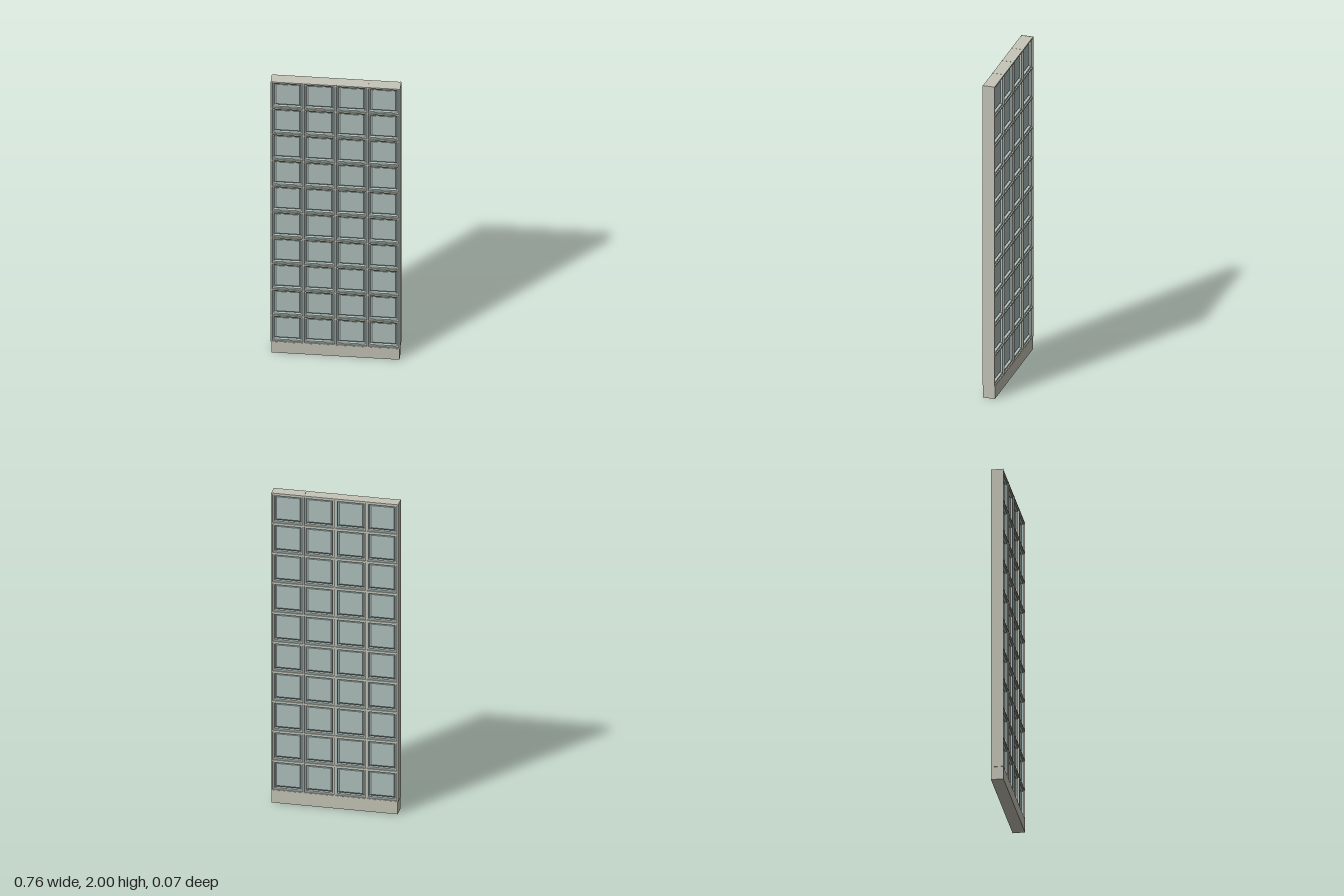
import * as THREE from 'three';

const COLS = 4, ROWS = 10;
const PITCH_X = 0.1880, PITCH_Y = 0.1915;
const BASE_H = 0.08, DEPTH = 0.074, JOINT = 0.009;
const HALF_W = 0.38;

const rect = (C, w, h) => {
  const s = new C();
  s.moveTo(-w / 2, -h / 2);
  s.lineTo(w / 2, -h / 2);
  s.lineTo(w / 2, h / 2);
  s.lineTo(-w / 2, h / 2);
  s.closePath();
  return s;
};

export function createModel() {
  const model = new THREE.Group();
  const frameMat = new THREE.MeshStandardMaterial({ color: 0xc6c5b8 });
  const glassMat = new THREE.MeshStandardMaterial({ color: 0xb0c1be });

  const add = (name, geometry, material, x, y, z = 0) => {
    const mesh = new THREE.Mesh(geometry, material);
    mesh.name = name;
    mesh.position.set(x, y, z);
    model.add(mesh);
  };

  // Solid plinth
  add('base', new THREE.BoxGeometry(HALF_W * 2 - 0.006, BASE_H, DEPTH), frameMat, 0, BASE_H / 2);

  // Upright joints, standing slightly proud of the top rail
  const upright = new THREE.BoxGeometry(JOINT, 2 - BASE_H, DEPTH);
  for (let c = 0; c <= COLS; c++) {
    add('upright', upright, frameMat, (c - COLS / 2) * PITCH_X, BASE_H + (2 - BASE_H) / 2);
  }

  // Horizontal joints
  const rail = new THREE.BoxGeometry(COLS * PITCH_X, JOINT, DEPTH - 0.002);
  for (let r = 0; r <= ROWS; r++) {
    add('rail', rail, frameMat, 0, BASE_H + r * PITCH_Y);
  }

  // Rim ring shared by all blocks
  const w = PITCH_X - JOINT, h = PITCH_Y - JOINT, rim = 0.01, rimDepth = 0.058;
  const ring = rect(THREE.Shape, w, h);
  ring.holes.push(rect(THREE.Path, w - rim * 2, h - rim * 2));
  const rimGeo = new THREE.ExtrudeGeometry(ring, { depth: rimDepth, bevelEnabled: false });
  rimGeo.translate(0, 0, -rimDepth / 2);

  // Glass pane with a chamfered face on both sides
  const chamfer = 0.01, core = 0.022;
  const paneGeo = new THREE.ExtrudeGeometry(
    rect(THREE.Shape, w - rim * 2 - chamfer * 2, h - rim * 2 - chamfer * 2),
    { depth: core, bevelEnabled: true, bevelSize: chamfer, bevelThickness: 0.008, bevelSegments: 1 }
  );
  paneGeo.translate(0, 0, -core / 2);

  for (let r = 0; r < ROWS; r++) {
    for (let c = 0; c < COLS; c++) {
      const x = (c + 0.5 - COLS / 2) * PITCH_X;
      const y = BASE_H + (r + 0.5) * PITCH_Y;
      add('blockRim', rimGeo, glassMat, x, y);
      add('glassPane', paneGeo, glassMat, x, y);
    }
  }
  return model;
}
